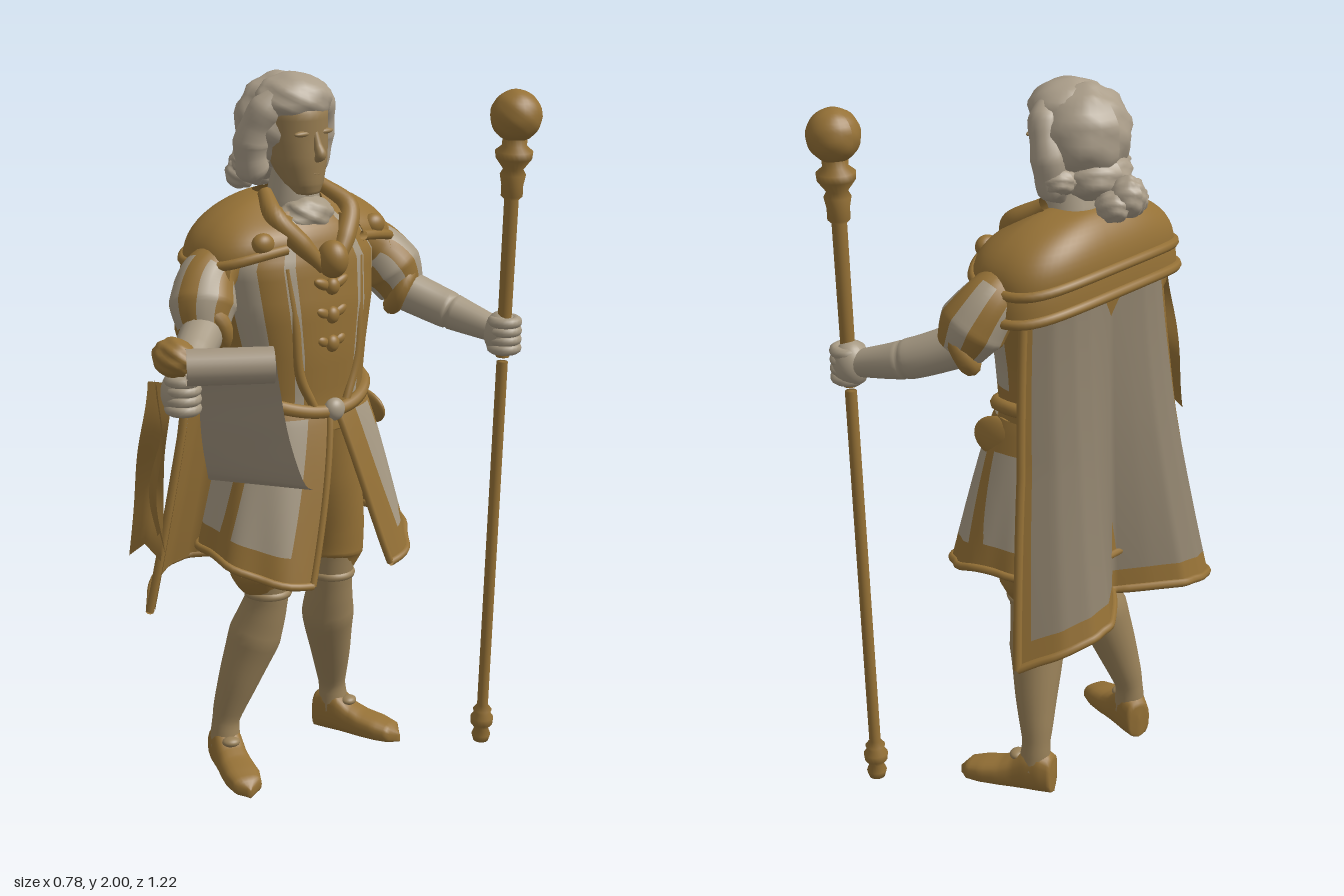
import * as THREE from 'three';
import { mergeVertices } from 'three/addons/utils/BufferGeometryUtils.js';

const V = (x, y, z) => new THREE.Vector3(x, y, z);
const paint = (name, color) => new THREE.MeshStandardMaterial({ name, color, side: THREE.DoubleSide });
const gold = paint('gold', 0x957136), cream = paint('cream cloth', 0xa69983), tan = paint('stocking tan', 0x998159),
  skin = paint('face skin', 0x977c50), hairGrey = paint('wig grey', 0xaa9d89), grey = paint('cape grey', 0x8f826d),
  paper = paint('parchment', 0xa2947f);

const lerp = THREE.MathUtils.lerp;
const pow = (c, e) => Math.sign(c) * Math.abs(c) ** e;
// Interpolates rows of section values at t in 0..1
function row(rows, t) {
  const f = Math.min(t * (rows.length - 1), rows.length - 1.0001), i = Math.floor(f);
  return rows[i].map((a, k) => lerp(a, rows[i + 1][k], f - i));
}
function add(parent, name, geo, mat) {
  const m = new THREE.Mesh(geo, mat);
  m.name = name;
  parent.add(m);
  return m;
}
// Smooth grid surface; pick(u, v) chooses the material of each cell
function surf(parent, name, nu, nv, fn, mats, pick = () => 0) {
  const pos = [], cells = mats.map(() => []);
  for (let j = 0; j <= nv; j++) for (let i = 0; i <= nu; i++) pos.push(...fn(i / nu, j / nv));
  for (let j = 0; j < nv; j++) for (let i = 0; i < nu; i++) {
    const a = j * (nu + 1) + i, b = a + nu + 1;
    cells[pick((i + 0.5) / nu, (j + 0.5) / nv)].push(a, a + 1, b, a + 1, b + 1, b);
  }
  let geo = new THREE.BufferGeometry();
  geo.setAttribute('position', new THREE.Float32BufferAttribute(pos, 3));
  geo.setIndex(cells.flat());
  let start = 0;
  cells.forEach((c, k) => { geo.addGroup(start, c.length, k); start += c.length; });
  geo = mergeVertices(geo, 1e-5);
  geo.computeVertexNormals();
  return add(parent, name, geo, mats);
}
// Round limb along a curve with a list of radii
function limb(parent, name, pts, radii, mats, pick) {
  const curve = new THREE.CatmullRomCurve3(pts.map(p => V(...p)));
  const rr = radii.map(r => [r]);
  return surf(parent, name, 20, 28, (u, v) => {
    const t = curve.getTangent(v), n = t.clone().cross(Math.abs(t.x) > 0.9 ? V(0, 1, 0) : V(1, 0, 0)).normalize();
    const b = t.clone().cross(n), a = u * Math.PI * 2, r = row(rr, v)[0];
    return curve.getPoint(v).addScaledVector(n, -Math.cos(a) * r).addScaledVector(b, Math.sin(a) * r).toArray();
  }, Array.isArray(mats) ? mats : [mats], pick);
}
// Ellipsoid with optional wavy surface
function blob(parent, name, mat, p, s, wave = 0) {
  const g = new THREE.SphereGeometry(1, 28, 20), a = g.attributes.position;
  for (let i = 0; wave && i < a.count; i++) {
    const q = V(0, 0, 0).fromBufferAttribute(a, i);
    q.multiplyScalar(1 + wave * Math.sin(9 * q.y + 5 * q.x) * Math.cos(7 * q.z + 2 * q.x));
    a.setXYZ(i, q.x, q.y, q.z);
  }
  g.computeVertexNormals();
  const m = add(parent, name, g, mat);
  m.position.set(...p);
  m.scale.set(...s);
  return m;
}
function tube(parent, name, pts, r, mat, closed = false) {
  return add(parent, name, new THREE.TubeGeometry(new THREE.CatmullRomCurve3(pts.map(p => V(...p)), closed), 64, r, 8, closed), mat);
}
const line = (n, f) => Array.from({ length: n + 1 }, (_, i) => f(i / n));
const ring = (n, f) => Array.from({ length: n }, (_, i) => f(i / n * Math.PI * 2));

function buildHead(body) {
  const head = new THREE.Group();
  head.name = 'head';
  body.add(head);
  const rows = [[1.672, -.035, .005, .005], [1.682, -.042, .045, .04], [1.71, -.052, .062, .058], [1.77, -.068, .08, .08],
    [1.83, -.078, .088, .088], [1.9, -.083, .093, .09], [1.96, -.1, .07, .07]];
  surf(head, 'face', 28, 24, (u, v) => {
    const [y, c, rx, rz] = row(rows, v), a = u * Math.PI * 2;
    return [c + rx * Math.cos(a), y, rz * Math.sin(a)];
  }, [skin]);
  limb(head, 'nose', [[-.002, 1.86, 0], [.013, 1.815, 0], [.024, 1.79, 0], [.0, 1.772, 0]], [.008, .012, .016, .006], skin);
  blob(head, 'mouth', skin, [.0, 1.738, 0], [.011, .008, .026]);
  limb(head, 'neck', [[-.1, 1.55, 0], [-.09, 1.66, 0], [-.085, 1.74, 0]], [.085, .075, .06], cream);
  blob(head, 'cravat', cream, [-.035, 1.62, 0], [.06, .055, .085], .08);
  blob(head, 'wigBack', hairGrey, [-.14, 1.865, 0], [.12, .13, .13], .05);
  blob(head, 'wigTop', hairGrey, [-.09, 1.928, 0], [.1, .072, .112], .04);
  for (const s of [1, -1]) {
    blob(head, 'brow', skin, [-.004, 1.848, s * .038], [.011, .008, .03]);
    limb(head, 'wigSide', [[-.075, 1.945, s * .07], [-.1, 1.89, s * .105], [-.125, 1.82, s * .118], [-.13, 1.76, s * .113], [-.14, 1.705, s * .085]],
      [.03, .046, .042, .05, .043, .047, .012], hairGrey);
    blob(head, 'sideCurl', hairGrey, [-.145, 1.765, s * .105], [.052, .038, .05], .08);
    blob(head, 'ponytailCurl', hairGrey, [-.268, 1.705, s * .035], [.048, .042, .042], .08);
  }
  blob(head, 'wigNape', hairGrey, [-.185, 1.765, 0], [.085, .065, .1], .06);
  blob(head, 'ponytail', hairGrey, [-.285, 1.725, 0], [.05, .055, .05], .08);
}

function buildCoat(body) {
  // Torso with striped waistcoat
  const rows = [[1.03, -.065, .135, .2], [1.12, -.07, .135, .195], [1.25, -.07, .145, .205], [1.38, -.08, .155, .235],
    [1.5, -.095, .155, .25], [1.58, -.1, .135, .2], [1.64, -.1, .09, .12]];
  surf(body, 'torso', 80, 24, (u, v) => {
    const [y, c, rx, rz] = row(rows, v), a = (u - .5) * Math.PI * 2;
    return [c + rx * pow(Math.cos(a), .85), y, rz * pow(Math.sin(a), .85)];
  }, [gold, cream], (u, v) => {
    const a = Math.abs(u - .5) * Math.PI * 2;
    return (a > .39 && a < .55) || (v > .24 && a > .94 && a < 1.5) ? 1 : 0;
  });
  // Flared coat skirt, open at the front
  const skirt = (u, v) => {
    const open = lerp(.04, .44, v), a = lerp(open, Math.PI * 2 - open, u), c = Math.cos(a), k = v ** .85;
    const hem = .705 - .08 * Math.max(0, c) - .01 * Math.max(0, -c), fold = 1 + .025 * v * Math.cos(a * 9);
    return [lerp(-.065, -.038, k) + lerp(.142, .222, k) * pow(c, .85) * fold, lerp(1.1, hem, v),
      lerp(.205, .32, k) * pow(Math.sin(a), .9) * fold];
  };
  surf(body, 'coatSkirt', 96, 24, skirt, [cream, gold], (u, v) => {
    const w = Math.min(u, 1 - u);
    return v > .82 || v < .06 || w < .055 || Math.abs(w - .2) < .016 || w > .42 || (v < .2 && w > .13) ? 1 : 0;
  });
  tube(body, 'skirtHem', line(40, t => skirt(t, 1)), .011, gold);
  for (const e of [0, 1]) tube(body, 'skirtEdge', line(12, t => skirt(e, t)), .01, gold);
  tube(body, 'belt', ring(20, a => [-.068 + .148 * Math.cos(a), 1.14 - .05 * Math.max(0, Math.cos(a)) ** 2, .208 * Math.sin(a)]), .019, gold, true);
  blob(body, 'beltClasp', cream, [.085, 1.095, 0], [.025, .032, .032]);
  blob(body, 'brooch', gold, [.075, 1.515, 0], [.045, .052, .042]);
  [1.44, 1.36, 1.28].forEach((y, i) => {
    blob(body, 'button', gold, [.074, y, 0], [.018, .024, .022]);
    for (const s of [1, -1]) blob(body, 'bowLoop', gold, [.068, y + .008, s * .03], [.013, .015, .032 - i * .005]).rotation.x = s * -.4;
  });
  // Two layered shoulder capes, lowest over the shoulders
  const mantle = (name, y, rx, rz, cut) => {
    const at = (u, v) => {
      const a = lerp(cut, Math.PI * 2 - cut, u), c = Math.cos(a), s = Math.sin(a), k = Math.sin(v * Math.PI / 2);
      return [-.113 + lerp(.085, rx, k) * pow(c, .72), lerp(1.68 - .05 * Math.max(0, c), y - .045 * s * s, v ** 1.6) - .02 * v * Math.max(0, -c),
        lerp(.09, rz, k) * pow(s, .72)];
    };
    surf(body, name, 56, 12, at, [gold]);
    tube(body, name + 'Rim', line(48, t => at(t, 1)), .014, gold);
  };
  mantle('upperMantle', 1.56, .165, .32, .32);
  mantle('lowerMantle', 1.49, .165, .335, 1.0);
  for (const s of [1, -1]) {
    limb(body, 'lapel', [[-.09, 1.685, s * .1], [-.01, 1.63, s * .13], [.035, 1.56, s * .08], [.06, 1.49, s * .02]], [.02, .03, .03, .018], gold);
    limb(body, 'frontEdge', [[.03, 1.5, s * .13], [.05, 1.35, s * .115], [.055, 1.2, s * .1], [.067, 1.11, s * .06]], [.015, .015, .015, .012], gold);
    blob(body, 'shoulderMedallion', gold, [.02, 1.575, s * .2], [.026, .03, .034]);
    blob(body, 'pocketFlap', gold, [-.02, 1.045, s * .207], [.085, .055, .02]).rotation.x = s * -.25;
    // Breeches, stocking and shoe
    limb(body, 'breeches', [[-.06, 1.02, s * .085], [-.065, .85, s * .105], [-.07, .7, s * .13], [-.07, .61, s * .132], [-.06, .555, s * .122]], [.1, .1, .094, .09, .058], gold);
    tube(body, 'kneeCuff', ring(12, a => [-.058 + .056 * Math.cos(a), .55, s * .12 + .056 * Math.sin(a)]), .013, tan, true);
    limb(body, 'stocking', [[-.055, .62, s * .12], [-.065, .52, s * .123], [-.095, .41, s * .14], [-.125, .27, s * .178], [-.148, .15, s * .205], [-.145, .07, s * .21]],
      [.066, .062, .077, .058, .039, .045], tan);
    const shoe = new THREE.Group();
    shoe.name = 'shoe';
    shoe.position.set(-.145, 0, s * .21);
    shoe.rotation.y = -s * .36;
    body.add(shoe);
    const upper = [[-.06, 0, .06], [-.055, .036, .11], [-.02, .044, .13], [.02, .046, .125], [.06, .046, .092], [.1, .05, .075], [.15, .052, .065], [.195, .042, .052], [.222, 0, .025]];
    surf(shoe, 'shoeUpper', 20, 32, (u, v) => {
      const [x, w, h] = row(upper, v), a = u * Math.PI * 2;
      return [x, h * (.5 + .5 * pow(Math.sin(a), .75)), w * pow(Math.cos(a), .75)];
    }, [gold]);
    blob(shoe, 'shoeBuckle', tan, [.05, .1, 0], [.022, .014, .026]);
    // Puffed sleeve
    limb(body, 'sleeve', [[-.1, 1.53, s * .22], [-.09, 1.48, s * .3], [-.06, 1.415, s * .342], [-.035, 1.355, s * .362]], [.06, .078, .092, .068], [cream, gold],
      (u, v) => (v < .3 ? 1 : Math.floor(u * 10) % 2));
    const cuff = add(body, 'sleeveCuff', new THREE.TorusGeometry(.058, .026, 10, 24), gold);
    cuff.position.set(-.035, 1.36, s * .36);
    cuff.lookAt(.1, 1.27, s * .56);
  }
}

// Long cape with two rounded lobes, grey outside and gold inside
function buildCape(body) {
  const top = [[-.235], [-.245], [-.255], [-.25], [-.225], [-.17]], low = [[-.25], [-.318], [-.375], [-.378], [-.34], [-.25]];
  const at = (off, inset) => (u, v) => {
    const q = u * 2 - 1, a = Math.abs(q);
    return [lerp(row(top, a)[0], row(low, a)[0], v ** 1.6) + off, lerp(1.53, .6 - .1 * a ** 3 - .02 * (1 - a), v),
      inset * q * (lerp(.265, .315, Math.min(1, v * 2)) + .08 * Math.max(0, v - .5) * 2)];
  };
  const outer = at(0, 1);
  surf(body, 'capeOutside', 64, 32, outer, [grey, gold], (u, v) => (v > .93 || Math.min(u, 1 - u) < .035 ? 1 : 0));
  surf(body, 'capeLining', 64, 32, at(.012, .98), [gold]);
  tube(body, 'capeHem', line(24, t => outer(t, 1)), .012, gold);
  for (const e of [0, 1]) tube(body, 'capeEdge', line(24, t => outer(e, t)), .012, gold);
}

function buildHand(parent, name, p) {
  const hand = new THREE.Group();
  hand.name = name;
  hand.position.set(...p);
  parent.add(hand);
  blob(hand, 'palm', cream, [-.012, 0, 0], [.05, .064, .05]);
  for (let i = 0; i < 4; i++) {
    const f = add(hand, 'finger', new THREE.TorusGeometry(.033, .016, 10, 20), cream);
    f.rotation.x = Math.PI / 2;
    f.position.y = .036 - i * .025;
  }
}

function buildStaff(g) {
  const staff = new THREE.Group();
  staff.name = 'staff';
  staff.position.set(.222, 0, -.537);
  staff.rotation.z = -.039;
  g.add(staff);
  const turn = (name, pts) => add(staff, name, new THREE.LatheGeometry(pts.map(p => new THREE.Vector2(...p)), 24), gold);
  turn('lowerStaff', [[0, .008], [.022, .01], [.028, .03], [.02, .05], [.032, .065], [.034, .085], [.024, .1], [.028, .11], [.016, .125], [.016, 1.185], [0, 1.185]]);
  turn('upperStaff', [[0, 1.2], [.019, 1.2], [.02, 1.65], [.03, 1.66], [.03, 1.69], [.036, 1.72], [.028, 1.735], [.05, 1.765], [.052, 1.785], [.034, 1.8], [.034, 1.83]]);
  blob(staff, 'staffBall', gold, [0, 1.882, 0], [.071, .071, .071], .015);
}

function buildScroll(g) {
  const a = V(.232, 1.36, .562), b = V(.355, 1.36, .378), dir = b.clone().sub(a);
  for (const r of [.047, .03]) {
    const roll = add(g, 'scrollRoll', new THREE.CylinderGeometry(r, r, dir.length(), 24, 1, true), paper);
    roll.position.copy(a).lerp(b, .5);
    roll.quaternion.setFromUnitVectors(V(0, 1, 0), dir.clone().normalize());
  }
  // Hanging sheet
  const e1 = new THREE.CatmullRomCurve3([V(.21, 1.37, .53), V(.18, 1.28, .485), V(.14, 1.12, .44), V(.11, 1.02, .4), V(.09, .99, .38)]);
  const e2 = new THREE.CatmullRomCurve3([V(.335, 1.37, .355), V(.31, 1.28, .32), V(.285, 1.12, .265), V(.275, .98, .2), V(.27, .96, .17)]);
  surf(g, 'scrollSheet', 8, 20, (u, v) => e1.getPoint(v).lerp(e2.getPoint(v), u).toArray(), [paper]);
  // Ribbon knot and two tails
  blob(g, 'ribbonKnot', gold, [.165, 1.37, .545], [.065, .05, .052], .06);
  for (const s of [1, -1]) surf(g, 'ribbonTail', 6, 24, (u, v) => [
    .1 + s * .024 * v + (u - .5) * (.055 + .035 * v) + .012 * Math.sin(v * 8), lerp(1.29, s > 0 ? .9 : .86, v) - .04 * v * Math.abs(u - .5) * 2,
    lerp(.55, .585, v) + s * (u - .5) * .035 + .008 * Math.sin(v * 9 + s)], [gold]);
}

export function createModel() {
  const g = new THREE.Group();
  g.name = 'costumedHerald';
  const body = new THREE.Group();
  body.name = 'body';
  body.position.z = -.07;
  g.add(body);
  buildHead(body);
  buildCoat(body);
  buildCape(body);
  // Forearms and hands
  limb(g, 'scrollForearm', [[-.04, 1.365, .28], [.04, 1.32, .39], [.13, 1.28, .5]], [.06, .054, .036], cream);
  buildHand(g, 'scrollHand', [.165, 1.27, .52]);
  limb(g, 'staffForearm', [[-.04, 1.365, -.42], [.09, 1.31, -.49], [.24, 1.27, -.537]], [.06, .054, .036], cream);
  buildHand(g, 'staffHand', [.272, 1.265, -.539]);
  buildStaff(g);
  buildScroll(g);
  return g;
}
